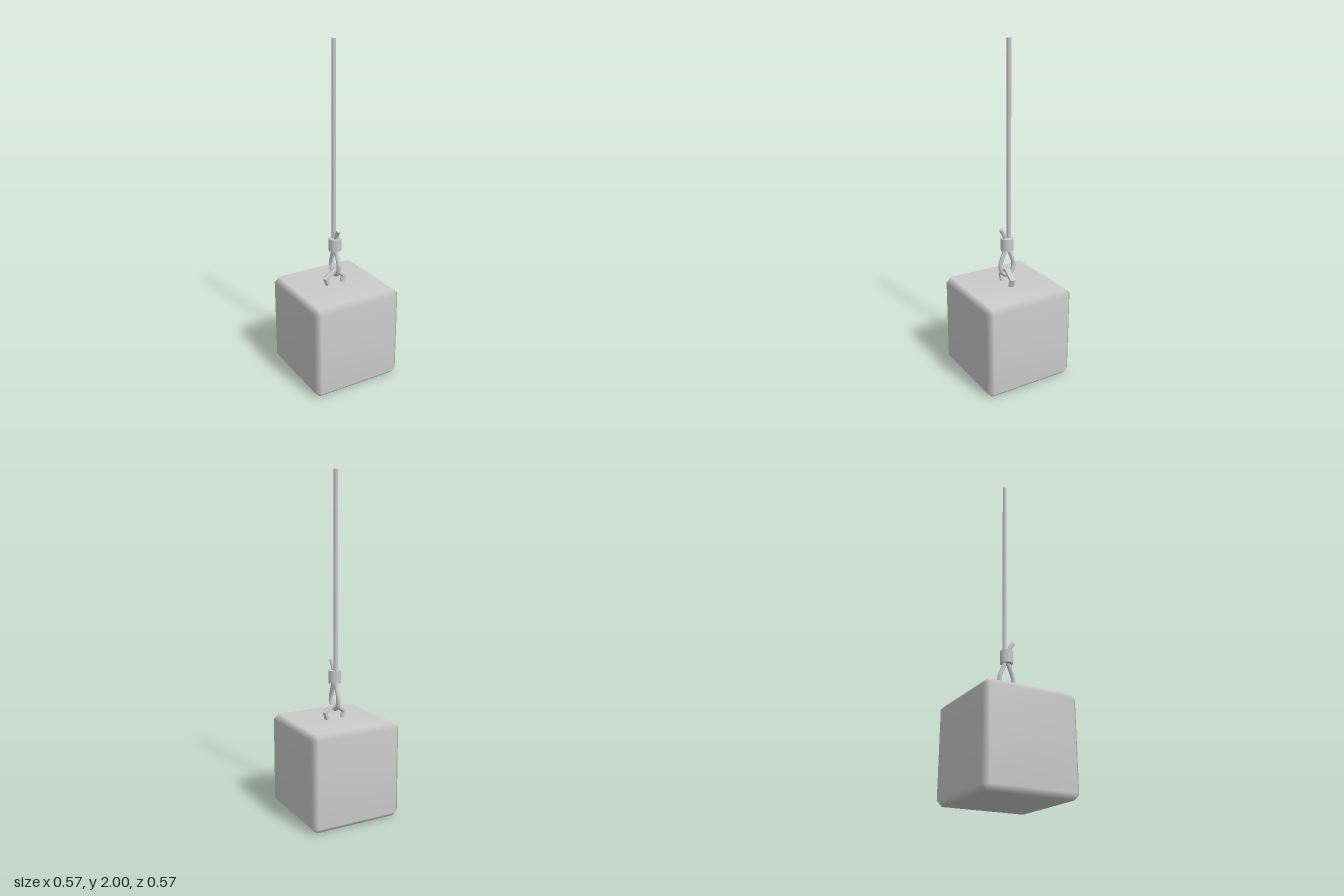
import * as THREE from 'three';
import { mergeVertices } from 'three/addons/utils/BufferGeometryUtils.js';
import { ConvexGeometry } from 'three/addons/geometries/ConvexGeometry.js';

const ROPE_RADIUS = 0.013;

// Cube with straight chamfers and normals blended across them
function chamferedCube(half, chamfer) {
  const inner = half - chamfer;
  const points = [];
  for (const sx of [-1, 1]) for (const sy of [-1, 1]) for (const sz of [-1, 1]) {
    points.push(
      new THREE.Vector3(sx * half, sy * inner, sz * inner),
      new THREE.Vector3(sx * inner, sy * half, sz * inner),
      new THREE.Vector3(sx * inner, sy * inner, sz * half));
  }
  const hull = new ConvexGeometry(points);
  hull.deleteAttribute('normal');
  const geometry = mergeVertices(hull, 1e-4);
  geometry.computeVertexNormals();
  return geometry;
}

export function createModel() {
  const model = new THREE.Group();
  model.name = 'hangingWeight';
  const smooth = new THREE.MeshStandardMaterial({ color: 0xcccccc });
  const faceted = new THREE.MeshStandardMaterial({ color: 0xcccccc, flatShading: true });

  const add = (name, geometry, material, x, y, z) => {
    const mesh = new THREE.Mesh(geometry, material);
    mesh.name = name;
    mesh.position.set(x, y, z);
    model.add(mesh);
    return mesh;
  };

  // Heavy block
  add('block', chamferedCube(0.283, 0.031), smooth, 0, 0.283, 0);

  // Five-sided ring, half sunk into the block, one corner pointing up
  const ring = new THREE.TorusGeometry(0.067, 0.018, 6, 5);
  ring.rotateZ(Math.PI / 2);
  add('ring', ring, faceted, 0, 0.585, 0);

  // Long straight rope
  const ropeBottom = 0.78;
  add('rope', new THREE.CylinderGeometry(ROPE_RADIUS, ROPE_RADIUS, 2 - ropeBottom, 8),
    smooth, 0, (2 + ropeBottom) / 2, -0.013);

  // Loop through the ring, back up through the clamp to a loose tail: [z, y]
  const path = [[-0.013, 0.83], [-0.014, 0.78], [-0.031, 0.735], [-0.045, 0.687],
    [-0.034, 0.642], [0, 0.622], [0.034, 0.642], [0.045, 0.687], [0.031, 0.735],
    [0.014, 0.78], [0.013, 0.855], [0.022, 0.882], [0.042, 0.915]];
  const curve = new THREE.CatmullRomCurve3(
    path.map(([z, y]) => new THREE.Vector3(0, y, z)), false, 'centripetal');
  add('ropeLoop', new THREE.TubeGeometry(curve, 36, ROPE_RADIUS, 8), smooth, 0, 0, 0);

  // Cut end of the tail
  const end = curve.getPoint(1);
  const cap = add('tailEnd', new THREE.CircleGeometry(ROPE_RADIUS, 8), smooth, end.x, end.y, end.z);
  cap.lookAt(end.clone().add(curve.getTangent(1)));

  // Clamp sleeve
  add('clamp', new THREE.CylinderGeometry(0.039, 0.039, 0.076, 8), smooth, 0, 0.819, 0);

  return model;
}
